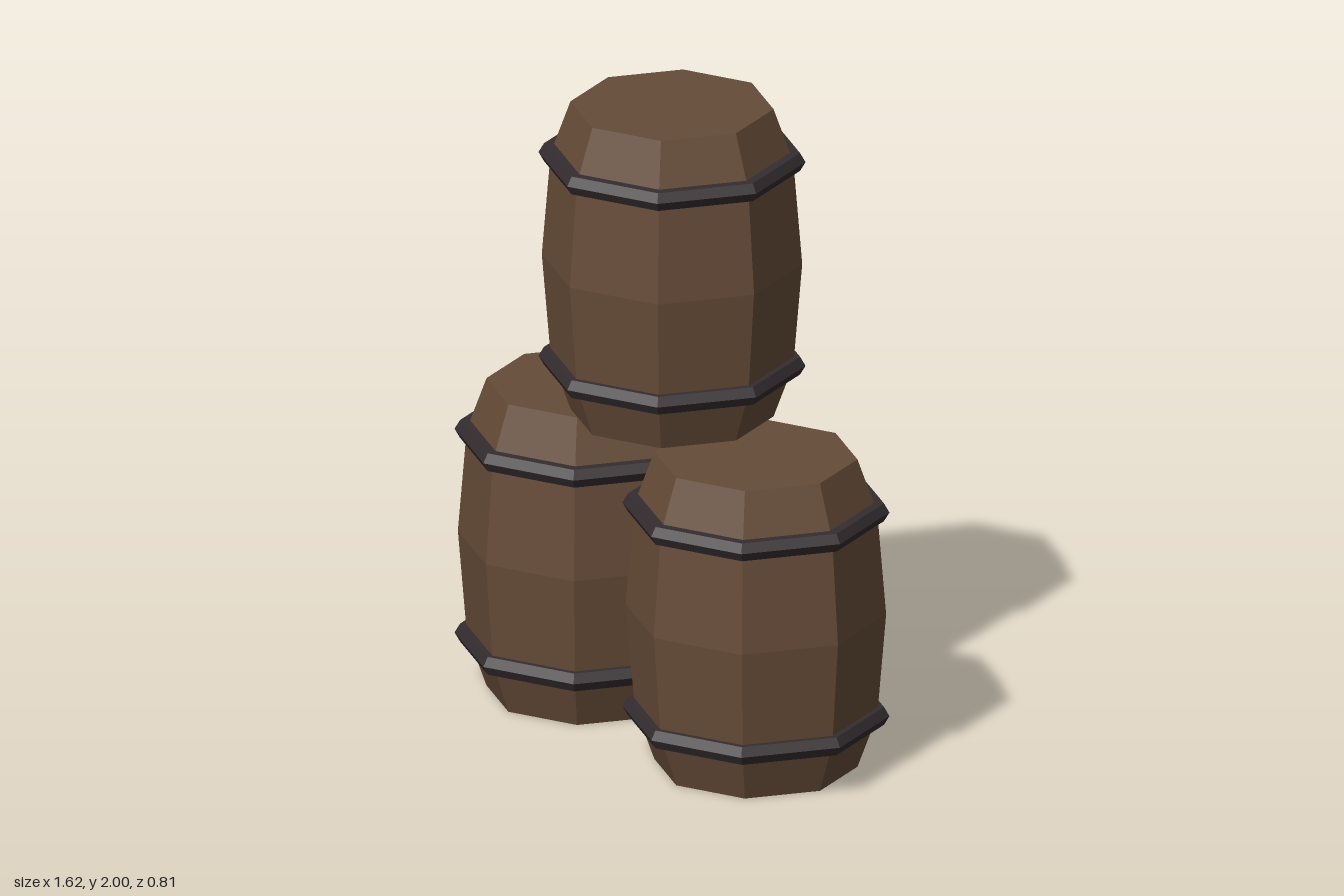
import * as THREE from 'three';

const SIDES = 8;
const HEIGHT = 0.99;

export function createModel() {
  const wood = new THREE.MeshStandardMaterial({ color: 0x664c38, flatShading: true });
  wood.name = 'brown wood';
  const iron = new THREE.MeshStandardMaterial({ color: 0x342d30, flatShading: true });
  iron.name = 'dark iron';

  // Closed octagonal cask, bulging at mid height
  const profile = [[0, 0], [0.308, 0], [0.368, 0.167], [0.395, 0.495], [0.368, 0.823], [0.308, HEIGHT], [0, HEIGHT]];
  const bodyGeometry = new THREE.LatheGeometry(profile.map(([r, y]) => new THREE.Vector2(r, y)), SIDES);

  // Hexagonal-section band, laid flat
  const hoopGeometry = new THREE.TorusGeometry(0.372, 0.033, 6, SIDES).rotateX(-Math.PI / 2);

  function makeBarrel(name, x, y) {
    const barrel = new THREE.Group();
    barrel.name = name;
    const body = new THREE.Mesh(bodyGeometry, wood);
    body.name = 'barrelBody';
    barrel.add(body);
    for (const [hoopName, hoopY] of [['lowerHoop', 0.167], ['upperHoop', 0.823]]) {
      const hoop = new THREE.Mesh(hoopGeometry, iron);
      hoop.name = hoopName;
      hoop.position.y = hoopY;
      barrel.add(hoop);
    }
    barrel.position.set(x, y, 0);
    return barrel;
  }

  // Two barrels side by side with a third stacked on top
  const model = new THREE.Group();
  model.name = 'barrelStack';
  model.add(
    makeBarrel('leftBarrel', 0.404, 0),
    makeBarrel('rightBarrel', -0.404, 0),
    makeBarrel('topBarrel', 0, 2 - HEIGHT),
  );
  return model;
}
